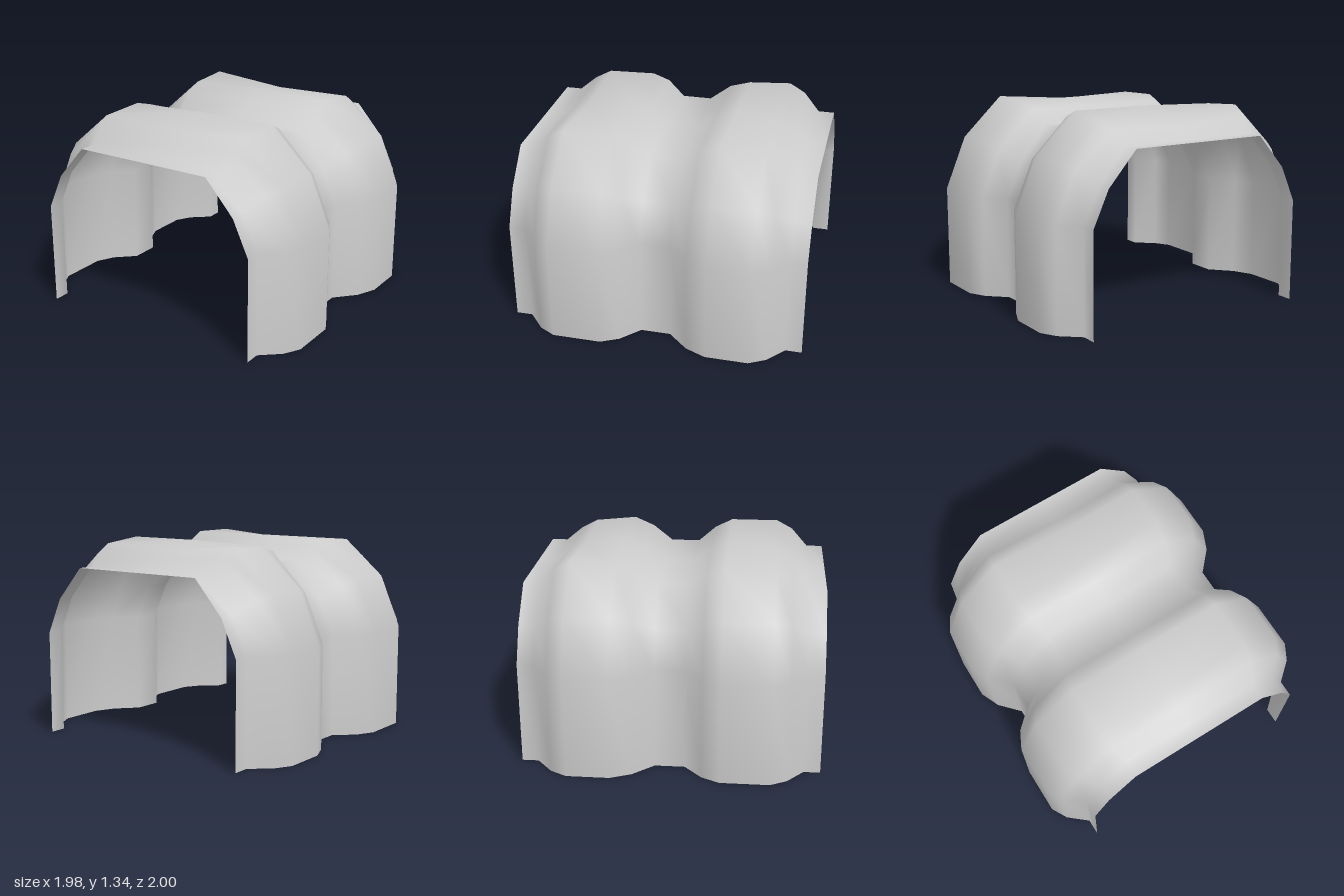
import * as THREE from 'three';

// Half arch outline from foot to crown: narrow (valley) and wide (bulge) versions
const NARROW = [[0.80, 0], [0.80, 0.70], [0.69, 0.94], [0.49, 1.165], [0, 1.165]];
const WIDE = [[0.99, 0], [0.99, 0.70], [0.84, 1.06], [0.55, 1.335], [0, 1.335]];

// Stations along the length: [z, how far the arch swells]
const STATIONS = [
  [1, 0], [0.89, 0], [0.78, 0.68], [0.67, 1], [0.34, 1], [0.22, 0.68], [0.10, 0],
  [-0.10, 0], [-0.24, 0.68], [-0.38, 1], [-0.67, 1], [-0.78, 0.68], [-0.89, 0], [-1, 0],
];

// Slight sagging of the roof where the outer slopes are uneven
function sag(x, y, z) {
  if (y < 1.2) return 0;
  const az = Math.abs(z);
  const side = x * Math.sign(z);
  if (az > 0.6 && az < 0.8) {
    if (Math.abs(x) < 0.1) return 0.045;
    return side < 0 ? 0.03 : 0;
  }
  return az > 0.3 && az < 0.4 && x < -0.1 ? 0.02 : 0;
}

function archSection(z, swell) {
  const half = NARROW.map(([x, y], i) => [
    x + (WIDE[i][0] - x) * swell,
    y + (WIDE[i][1] - y) * swell,
  ]);
  const mirrored = half.slice(0, -1).reverse().map(([x, y]) => [-x, y]);
  return [...half, ...mirrored].map(([x, y]) => {
    const lift = Math.abs(z) < 0.15 && y > 1.1 ? 0.02 : 0; // middle valley sits a little higher
    return [x, y + lift - sag(x, y, z), z];
  });
}

export function createModel() {
  const model = new THREE.Group();
  model.name = 'ribbedArchShell';

  // Loft the arch sections into one smooth open shell
  const sections = STATIONS.map(([z, swell]) => archSection(z, swell));
  const cols = sections[0].length;
  const index = [];
  for (let r = 0; r < sections.length - 1; r++) {
    for (let c = 0; c < cols - 1; c++) {
      const a = r * cols + c;
      const b = a + cols;
      index.push(a, b, a + 1, b, b + 1, a + 1);
    }
  }
  const geometry = new THREE.BufferGeometry();
  geometry.setAttribute('position', new THREE.Float32BufferAttribute(sections.flat(2), 3));
  geometry.setIndex(index);
  geometry.computeVertexNormals();

  const shell = new THREE.Mesh(
    geometry,
    new THREE.MeshStandardMaterial({ color: 0xcccccc, side: THREE.DoubleSide }),
  );
  shell.name = 'corrugatedArch';
  model.add(shell);
  return model;
}
